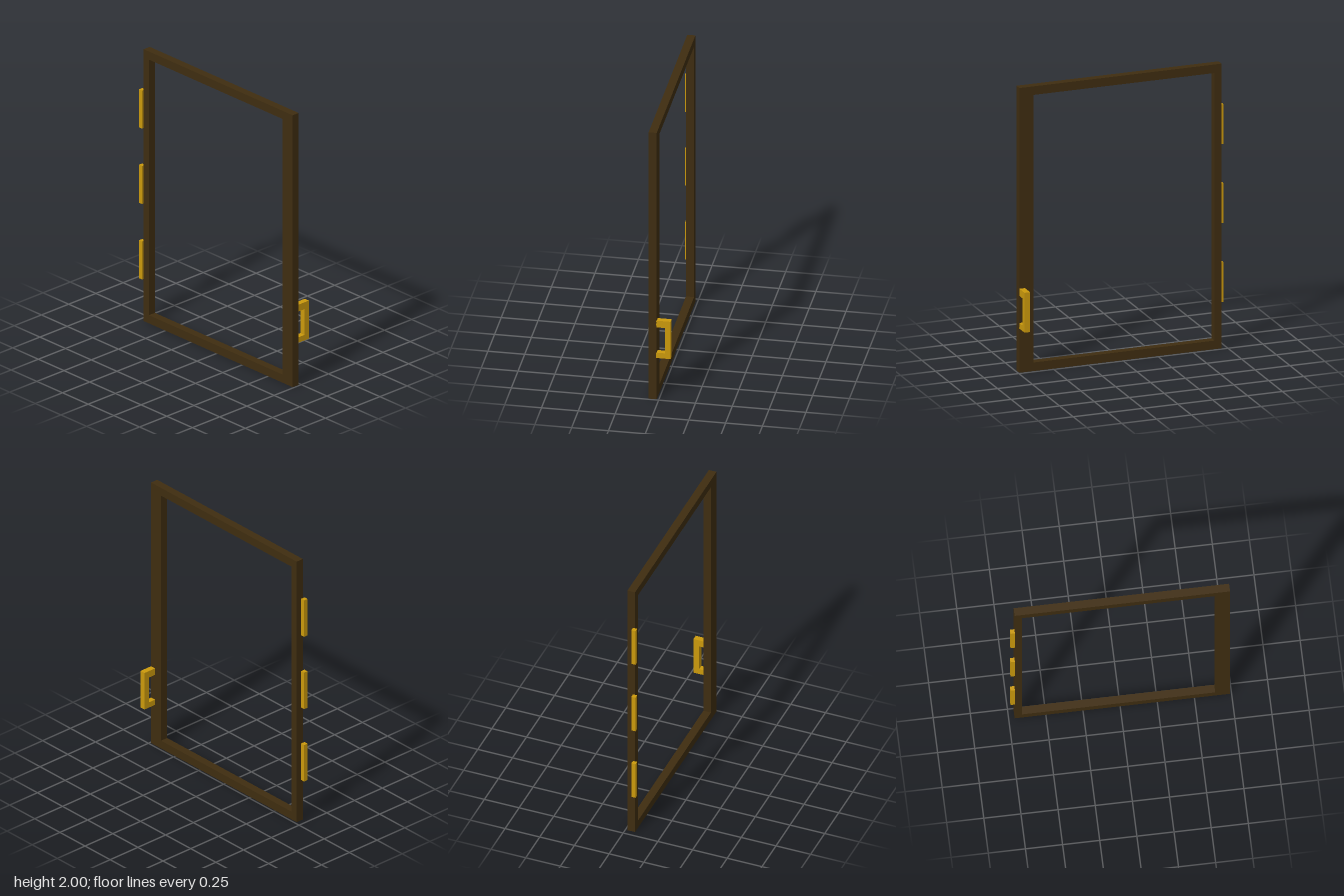
import * as THREE from 'three';

const darkWood = new THREE.MeshStandardMaterial({ color: 0x3f2d10 });
const brass = new THREE.MeshStandardMaterial({ color: 0xcc9a0c });

// Closed outline from a short list of corners
const outline = (points, Type = THREE.Shape) =>
  new Type(points.map(([x, y]) => new THREE.Vector2(x, y)));
const rect = (x0, y0, x1, y1) => [[x0, y0], [x1, y0], [x1, y1], [x0, y1]];
const extrude = (shape, depth) =>
  new THREE.ExtrudeGeometry(shape, { depth, bevelEnabled: false });

export function createModel() {
  const model = new THREE.Group();
  model.name = 'doorFrame';
  const add = (name, geometry, material) => {
    const mesh = new THREE.Mesh(geometry, material);
    mesh.name = name;
    model.add(mesh);
    return mesh;
  };

  // Open frame: wide stile on the handle side; outline drawn with x = -z
  const frameShape = outline(rect(-0.74, 0, 0.71, 2));
  frameShape.holes.push(outline(rect(-0.64, 0.06, 0.66, 1.94).reverse(), THREE.Path));
  const frameGeometry = extrude(frameShape, 0.055).rotateY(Math.PI / 2);
  add('frame', frameGeometry, darkWood).position.x = -0.07;

  // C-shaped pull handle on the front stile
  const handleShape = outline([
    [-0.02, 0.31], [0.08, 0.31], [0.08, 0.59], [-0.02, 0.59],
    [-0.02, 0.54], [0.04, 0.54], [0.04, 0.35], [-0.02, 0.35],
  ]);
  add('handle', extrude(handleShape, 0.04), brass).position.z = 0.7;

  // Three hinges on the back edge
  const hingeGeometry = new THREE.BoxGeometry(0.03, 0.28, 0.03);
  ['lowerHinge', 'middleHinge', 'upperHinge'].forEach((name, i) => {
    add(name, hingeGeometry, brass).position.set(-0.07, 0.45 + i * 0.555, -0.725);
  });

  return model;
}
